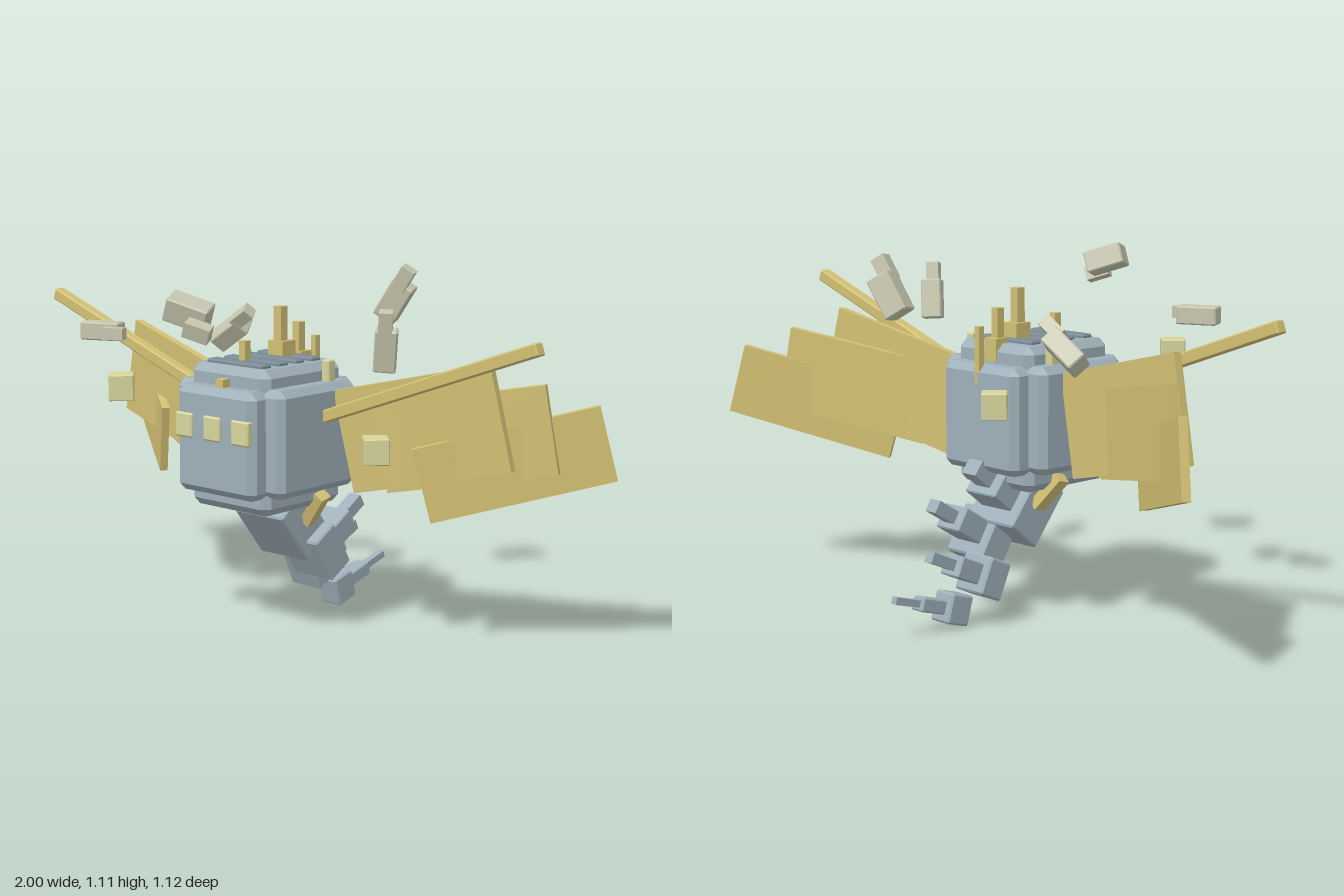
import * as THREE from 'three';
import { ConvexGeometry } from 'three/addons/geometries/ConvexGeometry.js';

const mat = (name, color) => Object.assign(new THREE.MeshStandardMaterial({ color }), { name });
const V = (x, y, z) => new THREE.Vector3(x, y, z);

// box with chamfered edges (c = chamfer width)
function chamferBox(w, h, d, c) {
  const pts = [];
  for (const sx of [-1, 1]) for (const sy of [-1, 1]) for (const sz of [-1, 1]) {
    const x = w / 2, y = h / 2, z = d / 2;
    pts.push(V(sx * x, sy * (y - c), sz * (z - c)));
    pts.push(V(sx * (x - c), sy * y, sz * (z - c)));
    pts.push(V(sx * (x - c), sy * (y - c), sz * z));
  }
  return new ConvexGeometry(pts);
}

export function createModel() {
  const model = new THREE.Group();
  model.name = 'flyingCreature';
  const steel = mat('blueGrey', 0x9fb0ba);
  const dark = mat('darkBlueGrey', 0x7b8b95);
  const gold = mat('gold', 0xd2c073);
  const pale = mat('paleYellow', 0xd6d59c);
  const stone = mat('paleStone', 0xc6c6ae);

  function box(name, size, pos, material, chamfer = 0, parent = model) {
    const geo = chamfer ? chamferBox(...size, chamfer) : new THREE.BoxGeometry(...size);
    const mesh = new THREE.Mesh(geo, material);
    mesh.name = name;
    mesh.position.set(...pos);
    parent.add(mesh);
    return mesh;
  }

  // body: three overlapping chamfered blocks
  box('bodyLong', [0.32, 0.325, 0.47], [0, 0.613, 0.03], steel, 0.022);
  box('bodyTall', [0.32, 0.44, 0.35], [0, 0.615, 0.03], steel, 0.024);
  box('bodyWide', [0.44, 0.325, 0.35], [0, 0.618, 0.03], steel, 0.022);

  // ribs across the back
  for (let i = 0; i < 4; i++)
    box('topRib', [0.23, 0.03, 0.045], [0, 0.831, 0.15 - i * 0.073], dark, 0.005);

  // eyes on the front
  for (const x of [-0.115, 0, 0.115])
    box('eye', [0.07, 0.075, 0.03], [x, 0.655, 0.258], pale, 0.005);

  // spines: z, width, bottom, top
  const spines = [
    [0.125, 0.025, 0.8, 0.905], [-0.035, 0.03, 0.8, 0.995],
    [-0.118, 0.027, 0.8, 0.94], [-0.195, 0.02, 0.72, 0.89],
    [-0.04, 0.06, 0.8, 0.89], [-0.125, 0.05, 0.78, 0.85], [0.22, 0.03, 0.76, 0.8],
  ];
  for (const [z, w, y0, y1] of spines)
    box('spine', [w, y1 - y0, w], [0, (y0 + y1) / 2, z], gold);

  // plate spanned by tip top, tip bottom and inner bottom corners
  function feather(a, b, c, thick) {
    const u = b.clone().sub(c), v = a.clone().sub(b);
    const lu = u.length(), lv = v.length();
    u.normalize();
    v.addScaledVector(u, -v.dot(u)).normalize();
    const mesh = new THREE.Mesh(new THREE.BoxGeometry(lu, lv, thick), gold);
    mesh.name = 'feather';
    mesh.quaternion.setFromRotationMatrix(
      new THREE.Matrix4().makeBasis(u, v, u.clone().cross(v)));
    mesh.position.copy(a).add(c).multiplyScalar(0.5);
    return mesh;
  }

  const feathers = [
    [[0.727, 0.88, -0.13], [0.797, 0.573, -0.148], [0.28, 0.45, -0.065]],
    [[0.82, 0.815, -0.25], [0.88, 0.56, -0.275], [0.41, 0.47, -0.075]],
    [[0.945, 0.757, -0.355], [0.995, 0.54, -0.39], [0.56, 0.4, -0.076]],
  ];
  for (const s of [-1, 1]) {
    const wing = new THREE.Group();
    wing.name = s > 0 ? 'leftWing' : 'rightWing';
    model.add(wing);
    const bar = box('wingBar', [0.85, 0.038, 0.038], [s * 0.582, 0.817, 0], gold, 0.004, wing);
    bar.rotation.z = s * 0.347;
    for (const f of feathers)
      wing.add(feather(...f.map(([x, y, z]) => V(s * x, y, z)), 0.025));
    // shoulder stud and belly strut
    box('shoulderStud', [0.03, 0.07, 0.032], [s * 0.172, 0.81, -0.06], pale, 0.004);
    const strut = box('bellyStrut', [0.035, 0.13, 0.042], [s * 0.14, 0.385, -0.038], gold);
    strut.rotation.set(0.25, 0, -s * 0.68);
  }

  // tail segments: x, y, z, pitch, block, fin and spike [width, height, depth, offset]
  const tail = [
    [0, 0.325, -0.045, 0.67, [0.2, 0.2, 0.134], [0.13, 0.1, 0.11, 0.1], [0.06, 0.05, 0.1, 0.18]],
    [0.06, 0.23, -0.126, 0.55, [0.16, 0.158, 0.1], [0.1, 0.078, 0.114, 0.096], [0.045, 0.04, 0.1, 0.19]],
    [-0.05, 0.141, -0.229, 0.42, [0.12, 0.118, 0.09], [0.08, 0.065, 0.092, 0.093], [0.033, 0.033, 0.098, 0.186]],
    [-0.02, 0.055, -0.328, 0.28, [0.08, 0.093, 0.087], [0.05, 0.043, 0.095, 0.094], [0.022, 0.022, 0.095, 0.189]],
  ];
  for (const [x, y, z, pitch, block, fin, spike] of tail) {
    const seg = new THREE.Group();
    seg.name = 'tailSegment';
    seg.position.set(x, y, z);
    seg.rotation.x = pitch;
    model.add(seg);
    box('tailBlock', block, [0, 0, 0], steel, 0.006, seg);
    box('tailFin', fin.slice(0, 3), [0, 0, -fin[3]], steel, 0.004, seg);
    box('tailSpike', spike.slice(0, 3), [0, 0, -spike[3]], steel, 0, seg);
  }

  // floating cubes turned to a diamond
  for (const p of [[-0.225, 0.697, -0.345], [-0.22, 0.778, 0.425], [0.445, 0.617, 0.043]])
    box('floatingCube', [0.075, 0.078, 0.075], p, pale, 0.003).rotation.y = Math.PI / 4;

  // floating stones: large and small block with shared rotation
  const stones = [
    [[0.48, 0.915, 0.046], [0.065, 0.125, 0.05], [0.495, 0.995, 0.065], [0.04, 0.07, 0.04], [0.24, 0.6, -0.2]],
    [[0.135, 1.037, 0.495], [0.125, 0.07, 0.075], [0.195, 0.99, 0.52], [0.075, 0.045, 0.045], [0.3, 0.42, -0.45]],
    [[0.13, 0.99, -0.427], [0.075, 0.13, 0.07], [0.185, 1.063, -0.4], [0.045, 0.075, 0.045], [0.15, 0.4, -0.62]],
    [[-0.415, 0.86, -0.25], [0.13, 0.06, 0.075], [-0.345, 0.915, -0.23], [0.075, 0.04, 0.045], [0.6, 0.4, 0.45]],
    [[-0.415, 0.917, 0.318], [0.125, 0.055, 0.06], [-0.337, 0.917, 0.345], [0.07, 0.036, 0.035], [0, 0.42, 0]],
  ];
  for (const [p, size, p2, size2, rot] of stones) {
    box('floatingStone', size, p, stone, 0.004).rotation.set(...rot);
    box('floatingChip', size2, p2, stone).rotation.set(...rot);
  }
  return model;
}
